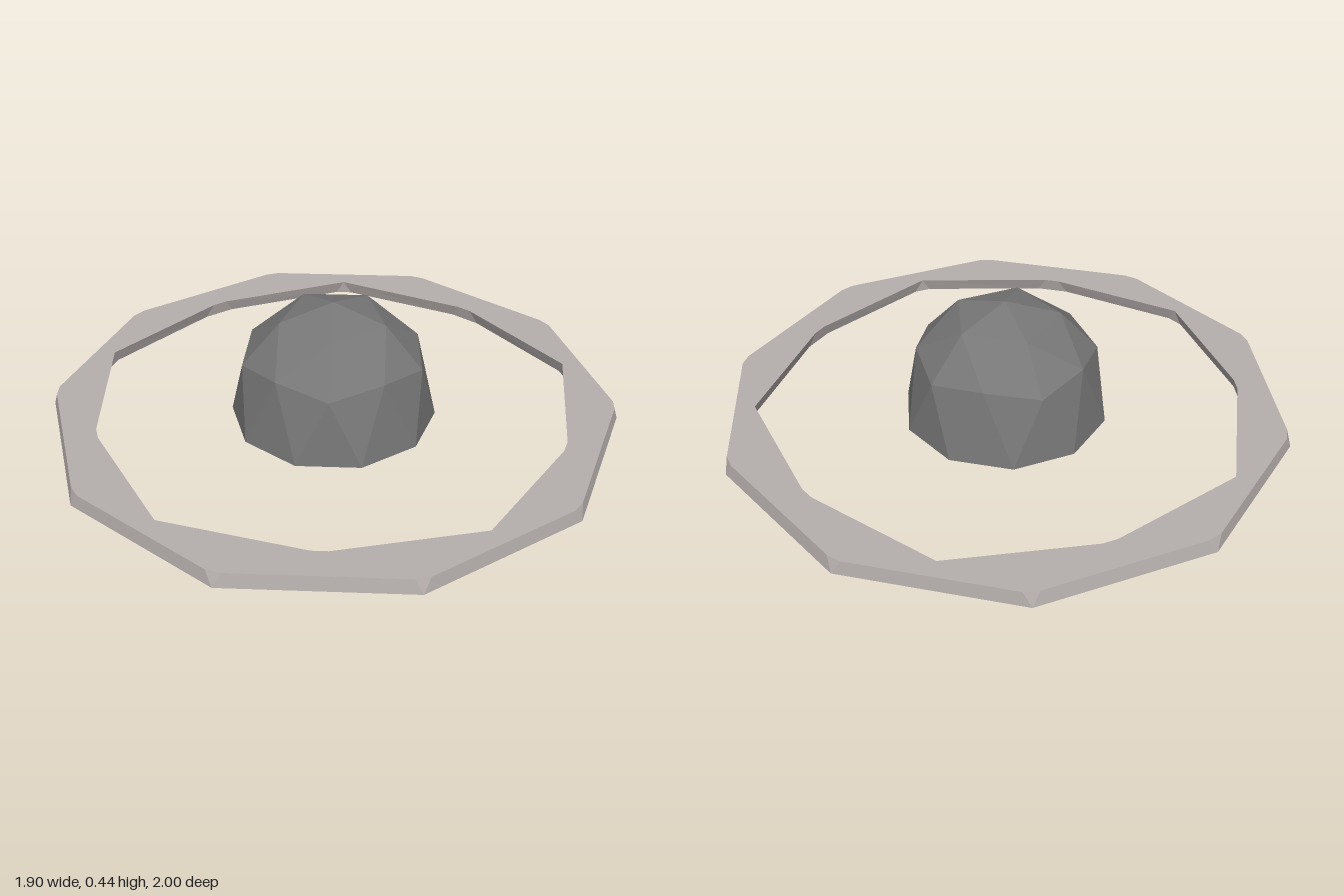
import * as THREE from 'three';

const rad = THREE.MathUtils.degToRad;

// Horizontal slice of a faceted dome: each of 10 upper corners (two alternating radii)
// is pulled towards its two neighbouring base corners by a fraction f.
function slice(y, baseR, corners) {
  const pts = [];
  const polar = (r, deg) => new THREE.Vector3(r * Math.cos(rad(deg)), y, r * Math.sin(rad(deg)));
  for (let c = 0; c < 10; c++) {
    const { r, f } = corners[c % 2];
    for (const side of [-18, 18]) {
      pts.push(polar(r, c * 36).lerp(polar(baseR, c * 36 + side), f));
    }
  }
  return pts;
}

// Closed band of flat facets running through the given loops and back to the first
function loft(loops) {
  const pos = [];
  loops.forEach((loop, j) => {
    const next = loops[(j + 1) % loops.length];
    loop.forEach((a, i) => {
      const k = (i + 1) % loop.length;
      for (const p of [a, next[i], next[k], a, next[k], loop[k]]) pos.push(p.x, p.y, p.z);
    });
  });
  const g = new THREE.BufferGeometry();
  g.setAttribute('position', new THREE.Float32BufferAttribute(pos, 3));
  g.computeVertexNormals();
  return g;
}

function part(name, geometry, color) {
  const mesh = new THREE.Mesh(geometry, new THREE.MeshStandardMaterial({ color, flatShading: true }));
  mesh.name = name;
  return mesh;
}

export function createModel() {
  const model = new THREE.Group();
  model.name = 'domeAndRing';

  // Flat ring: tapered ten-sided rim with a faceted hole
  const h = 0.05;
  const ring = loft([
    slice(0, 1, [{ r: 0.85, f: 1 }, { r: 0.89, f: 1 }]),
    slice(h, 1, [{ r: 0.85, f: 0.91 }, { r: 0.89, f: 0.9 }]),
    slice(h, 0.98, [{ r: 0.82, f: 0.09 }, { r: 0.877, f: 0 }]),
    slice(0, 0.98, [{ r: 0.82, f: 0.19 }, { r: 0.877, f: 0.1 }]),
  ]);
  model.add(part('ring', ring, 0xb5aeac));

  // Central dome: upper half of a subdivided icosahedron, lower half flattened into the base
  const dome = new THREE.IcosahedronGeometry(0.36, 1);
  dome.rotateZ(-Math.atan(2 / (1 + Math.sqrt(5))));
  const p = dome.attributes.position;
  for (let i = 0; i < p.count; i++) {
    const y = p.getY(i);
    p.setY(i, y > 0.01 ? y + 0.077 : 0);
  }
  dome.computeVertexNormals();
  model.add(part('dome', dome, 0x777777));

  return model;
}
